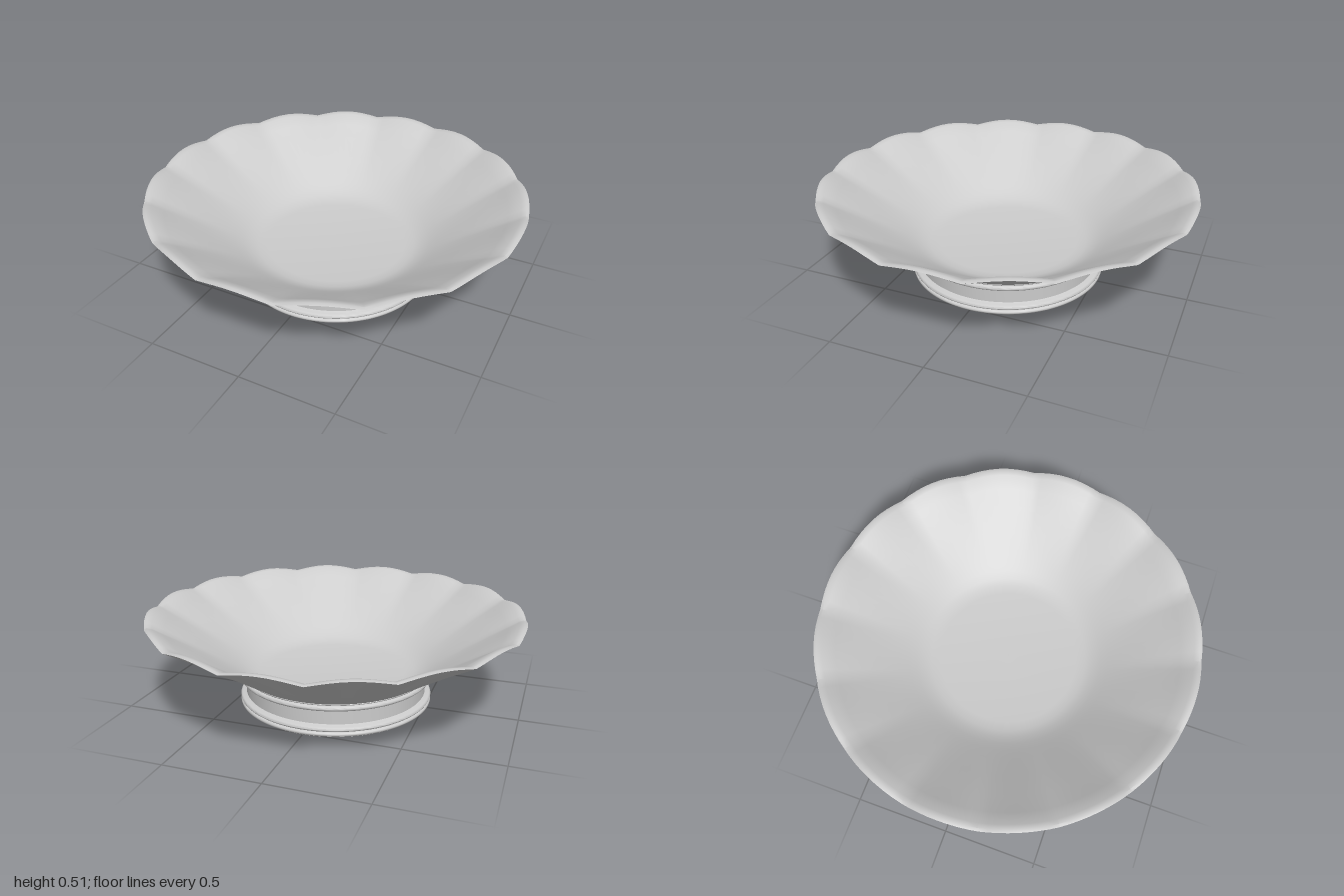
import * as THREE from 'three';
import { mergeVertices, toCreasedNormals } from 'three/addons/utils/BufferGeometryUtils.js';

const LOBES = 16;
const SEGMENTS = LOBES * 8;
const DIP = 0.026;

// Revolve a profile of [radius, height] pairs; bend() may move each vertex.
function turned(name, profile, crease, bend) {
  let geo = new THREE.LatheGeometry(profile.map(([r, y]) => new THREE.Vector2(r, y)), SEGMENTS);
  const pos = geo.attributes.position;
  if (bend) for (let i = 0; i < pos.count; i++) bend(pos, i);
  geo.deleteAttribute('uv');
  geo.deleteAttribute('normal');
  geo = toCreasedNormals(mergeVertices(geo, 1e-5), crease);
  const mesh = new THREE.Mesh(geo, new THREE.MeshStandardMaterial({ color: 0xcccccc, side: THREE.DoubleSide }));
  mesh.name = name;
  return mesh;
}

// Half-round bead bulging outward between two heights.
function bead(r, bulge, y0, y1, steps = 6) {
  return Array.from({ length: steps + 1 }, (_, i) => {
    const a = (i / steps - 0.5) * Math.PI;
    return [r + bulge * Math.cos(a), (y0 + y1) / 2 + ((y1 - y0) / 2) * Math.sin(a)];
  });
}

// Scalloped edge: rounded lobes meeting in small notches, fading down the wall.
function scallop(pos, i) {
  const x = pos.getX(i), y = pos.getY(i), z = pos.getZ(i);
  const fade = THREE.MathUtils.clamp((y - 0.2) / 0.3, 0, 1);
  const lobe = Math.abs(Math.cos((Math.atan2(z, x) * LOBES) / 2));
  pos.setY(i, y - DIP * fade * fade * (1 - lobe));
}

export function createModel() {
  const model = new THREE.Group();
  model.name = 'scallopedBowl';

  // Flared bowl: outer wall, flat lip, inner wall, rounded into the floor
  const bowl = [
    [0.5, 0.17], [0.52, 0.18], [0.68, 0.286], [0.84, 0.394], [0.93, 0.454], [1, 0.502],
    [0.985, 0.506], [0.96, 0.5],
    [0.9, 0.458], [0.82, 0.405], [0.7, 0.325], [0.6, 0.258], [0.55, 0.226], [0.51, 0.201],
    [0.47, 0.18], [0.43, 0.166], [0.38, 0.16], [0, 0.16],
  ];
  model.add(turned('bowl', bowl, 0.6, scallop));

  // Foot: double base moulding, straight drum, upper moulding under the bowl
  const foot = [
    [0, 0], [0.51, 0],
    ...bead(0.51, 0.015, 0.003, 0.028),
    ...bead(0.508, 0.017, 0.028, 0.054),
    [0.493, 0.06], [0.493, 0.135],
    ...bead(0.505, 0.017, 0.138, 0.167),
    ...bead(0.505, 0.01, 0.167, 0.181, 4),
    [0.48, 0.181],
  ];
  model.add(turned('foot', foot, 0.7));

  return model;
}
